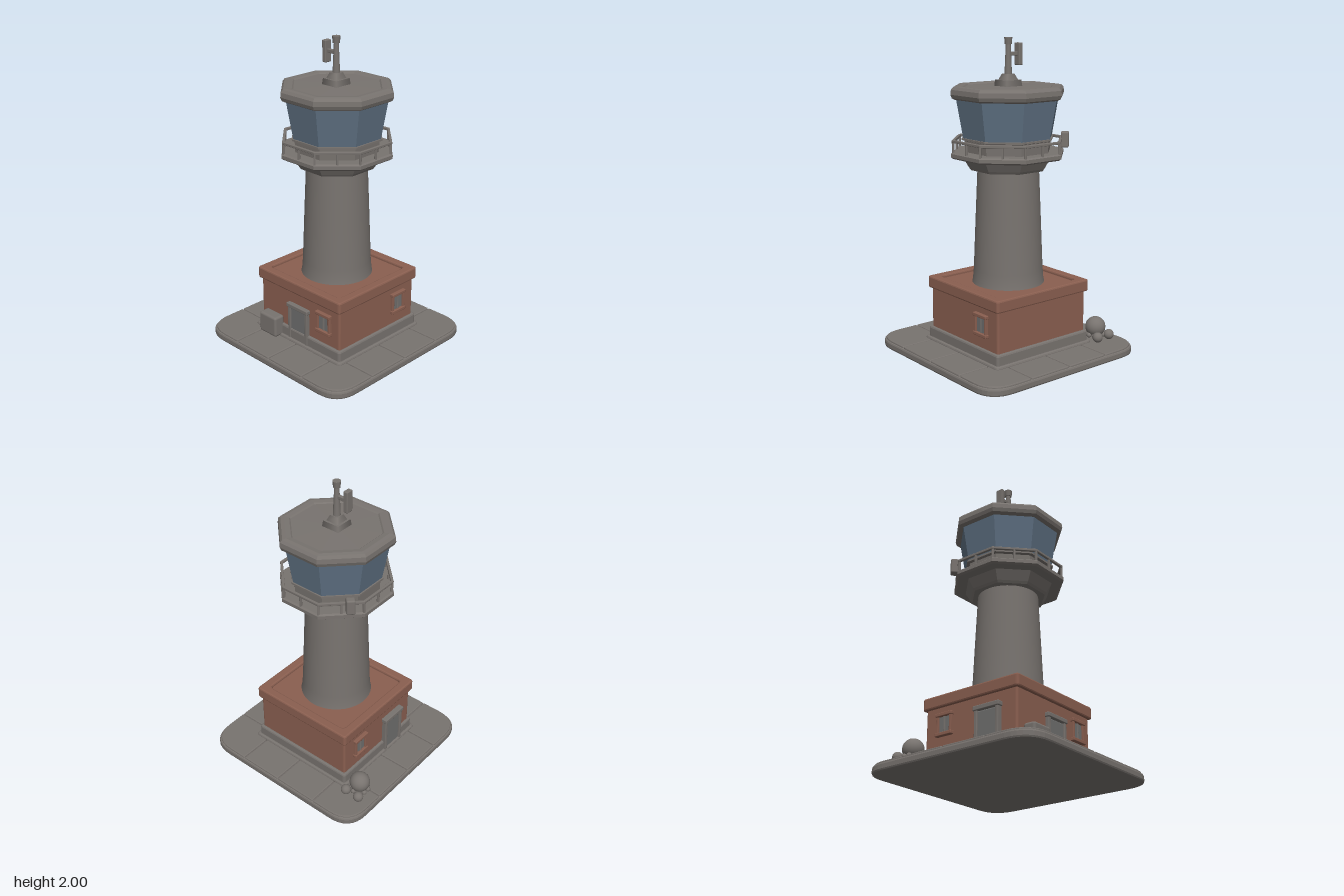
import * as THREE from 'three';
import { RoundedBoxGeometry } from 'three/addons/geometries/RoundedBoxGeometry.js';

export function createModel() {
  const model = new THREE.Group();
  const material = (name, color) => {
    const m = new THREE.MeshStandardMaterial({ color });
    m.name = name;
    return m;
  };
  const stone = material('stone', 0x78736f);
  const brick = material('brick', 0x8a5f50);
  const glass = material('glass', 0x607284);
  const doorGrey = material('doorGrey', 0x6f6f6e);

  const add = (name, geometry, mat, x = 0, y = 0, z = 0, parent = model) => {
    const mesh = new THREE.Mesh(geometry, mat);
    mesh.name = name;
    mesh.position.set(x, y, z);
    parent.add(mesh);
    return mesh;
  };
  const box = (name, mat, w, h, d, x, y, z, parent = model) =>
    add(name, new RoundedBoxGeometry(w, h, d, 2, Math.min(w, h, d) * 0.2), mat, x, y, z, parent);
  const group = (name, x, y, z, turn = 0) => {
    const g = new THREE.Group();
    g.name = name;
    g.position.set(x, y, z);
    g.rotation.y = turn;
    model.add(g);
    return g;
  };

  // Rectangle with a radius for each corner: bottom left, bottom right, top right, top left
  const roundRect = (x0, y0, x1, y1, [a, b, c, d], Type = THREE.Shape) => {
    const s = new Type();
    s.moveTo(x0 + a, y0);
    s.lineTo(x1 - b, y0);
    s.quadraticCurveTo(x1, y0, x1, y0 + b);
    s.lineTo(x1, y1 - c);
    s.quadraticCurveTo(x1, y1, x1 - c, y1);
    s.lineTo(x0 + d, y1);
    s.quadraticCurveTo(x0, y1, x0, y1 - d);
    s.lineTo(x0, y0 + a);
    s.quadraticCurveTo(x0, y0, x0 + a, y0);
    return s;
  };
  // Extrude upward from the ground plane, bevel kept inside the outline and height
  const raise = (shape, height, bevel) => {
    const g = new THREE.ExtrudeGeometry(shape, {
      depth: height - 2 * bevel, bevelThickness: bevel, bevelSize: bevel,
      bevelOffset: -bevel, bevelSegments: 2, curveSegments: 8,
    });
    return g.rotateX(-Math.PI / 2).translate(0, bevel, 0);
  };
  // Eight-sided solid from [apothem, height] pairs, flats facing the axes
  const octagon = (profile) => {
    const pts = profile.map(([r, y]) => new THREE.Vector2(r / Math.cos(Math.PI / 8), y));
    const g = new THREE.LatheGeometry(pts, 8, Math.PI / 8).toNonIndexed();
    g.computeVertexNormals();
    return g;
  };

  // Paved ground slab
  const R = 0.17, E = 0.612;
  add('groundSlab', raise(roundRect(-E, -E, E, E, [R, R, R, R]), 0.05, 0.012), stone);
  const lines = [-0.606, -0.3, 0, 0.3, 0.606];
  for (let i = 0; i < 4; i++) {
    for (let j = 0; j < 4; j++) {
      if (i % 3 && j % 3) continue; // hidden under the building
      const r = [i === 0 && j === 0, i === 3 && j === 0, i === 3 && j === 3, i === 0 && j === 3]
        .map((corner) => (corner ? R : 0.01));
      const s = roundRect(lines[i] + 0.003, lines[j] + 0.003, lines[i + 1] - 0.003, lines[j + 1] - 0.003, r);
      add('pavingStone', raise(s, 0.03, 0.006), stone, 0, 0.03, 0);
    }
  }
  add('innerPaving', raise(roundRect(-0.3, -0.3, 0.3, 0.3, [0, 0, 0, 0]), 0.03, 0.004), stone, 0, 0.03, 0);

  // Square building
  const cz = -0.011;
  const square = (w, d, r, Type) => roundRect(-w, -d, w, d, [r, r, r, r], Type);
  add('plinth', raise(square(0.372, 0.36, 0.02), 0.09, 0.012), stone, 0, 0.052, cz);
  add('plinthFoot', raise(square(0.39, 0.378, 0.03), 0.03, 0.012), stone, 0, 0.045, cz);
  add('brickWalls', raise(square(0.355, 0.341, 0.015), 0.33, 0.004), brick, 0, 0.13, cz);
  const rim = square(0.373, 0.36, 0.02);
  rim.holes.push(square(0.312, 0.3, 0.03, THREE.Path));
  add('parapet', raise(rim, 0.078, 0.01), brick, 0, 0.402, cz);

  // Windows and doors
  const addWindow = (x, y, z, turn) => {
    const g = group('window', x, y, z, turn);
    box('windowPane', doorGrey, 0.09, 0.1, 0.008, 0, 0, 0.003, g);
    box('windowMullion', stone, 0.012, 0.1, 0.014, 0, 0, 0.006, g);
    for (const s of [-1, 1]) {
      box('windowJamb', brick, 0.018, 0.13, 0.026, s * 0.05, 0, 0.006, g);
      box('windowLedge', brick, 0.126, 0.022, 0.034, 0, s * 0.06, 0.008, g);
    }
  };
  addWindow(0.225, 0.288, 0.33, 0);
  addWindow(0.355, 0.29, -0.198, Math.PI / 2);
  addWindow(-0.355, 0.29, -0.2, -Math.PI / 2);

  const addDoor = (x, z, turn, stretch) => {
    const g = group('door', x, 0.055, z, turn);
    g.scale.y = stretch;
    box('doorLeaf', doorGrey, 0.146, 0.24, 0.04, 0, 0.12, 0, g);
    for (const s of [-1, 1]) box('doorJamb', stone, 0.022, 0.245, 0.062, s * 0.077, 0.122, 0, g);
    box('doorLintel', stone, 0.19, 0.028, 0.075, 0, 0.254, 0, g);
  };
  addDoor(0, 0.322, 0, 1);
  addDoor(-0.355, 0.13, -Math.PI / 2, 1.06);

  box('utilityBox', stone, 0.155, 0.14, 0.08, -0.225, 0.13, 0.37);

  // Tapered round tower with a flared foot
  const tower = [[0.235, 0.44], [0.226, 0.48], [0.22, 0.55], [0.207, 0.87], [0.193, 1.2]]
    .map(([r, y]) => new THREE.Vector2(r, y));
  add('tower', new THREE.LatheGeometry(tower, 40), stone, -0.004, 0, cz);

  // Gallery, lookout room and roof
  const head = group('towerHead', -0.003, 0, cz);
  add('galleryCorbel', octagon([[0, 1.19], [0.222, 1.19], [0.232, 1.205], [0.268, 1.27]]), stone, 0, 0, 0, head);
  add('galleryDeck', octagon([[0, 1.265], [0.325, 1.265], [0.338, 1.275], [0.338, 1.297], [0.328, 1.305], [0, 1.307]]), stone, 0, 0, 0, head);
  add('lookoutWall', octagon([[0.255, 1.3], [0.258, 1.375], [0.275, 1.38], [0.275, 1.392], [0, 1.395]]), stone, 0, 0, 0, head);
  add('lookoutGlass', octagon([[0.266, 1.39], [0.307, 1.64]]), glass, 0, 0, 0, head);
  add('roof', octagon([[0, 1.628], [0.312, 1.628], [0.33, 1.638], [0.338, 1.66], [0.335, 1.69],
    [0.322, 1.706], [0.3, 1.71], [0.27, 1.707], [0.262, 1.7], [0, 1.706]]), stone, 0, 0, 0, head);

  // Railing: one bay per side of the octagon
  const A = 0.325, side = 2 * A * Math.tan(Math.PI / 8);
  for (let i = 0; i < 8; i++) {
    const bay = new THREE.Group();
    bay.name = 'railingBay';
    bay.rotation.y = i * Math.PI / 4;
    head.add(bay);
    box('topRail', stone, side + 0.012, 0.017, 0.017, 0, 1.374, A, bay);
    for (const t of [-0.5, 0]) box('railPost', stone, 0.014, 0.08, 0.014, side * t, 1.336, A, bay);
  }
  const cabinet = group('galleryCabinet', -0.288, 1.37, -0.222, Math.PI / 4);
  box('cabinetBody', stone, 0.055, 0.1, 0.05, 0, 0, 0, cabinet);

  // Antenna
  const aerial = group('antenna', -0.006, 0, -0.008);
  const foot = (name, r0, r1, h, y) => add(name,
    new THREE.CylinderGeometry(r1 * Math.SQRT2, r0 * Math.SQRT2, h, 4, 1, false, Math.PI / 4).toNonIndexed(), stone, 0, y, 0, aerial);
  foot('antennaFoot', 0.062, 0.057, 0.04, 1.722);
  foot('antennaCollar', 0.045, 0.028, 0.04, 1.758);
  add('mast', new THREE.CylinderGeometry(0.015, 0.024, 0.2, 12), stone, 0, 1.87, 0, aerial);
  add('mastHead', new THREE.CylinderGeometry(0.026, 0.022, 0.042, 10), stone, 0, 1.979, 0, aerial);
  box('antennaArm', stone, 0.07, 0.024, 0.022, -0.04, 1.9, 0, aerial);
  box('antennaPanel', stone, 0.032, 0.138, 0.05, -0.082, 1.897, 0, aerial);

  // Cluster of round stones at the back corner
  const ball = (r, x, y, z) => add('roundStone', new THREE.SphereGeometry(r, 20, 14), stone, x, y, z);
  ball(0.066, -0.472, 0.134, -0.338);
  ball(0.033, -0.52, 0.09, -0.414);
  ball(0.033, -0.42, 0.09, -0.414);
  for (let i = 0; i < 9; i++) {
    const a = i / 9 * Math.PI * 2;
    ball(0.016, -0.472 + 0.055 * Math.cos(a), 0.085, -0.338 + 0.055 * Math.sin(a));
  }
  return model;
}
